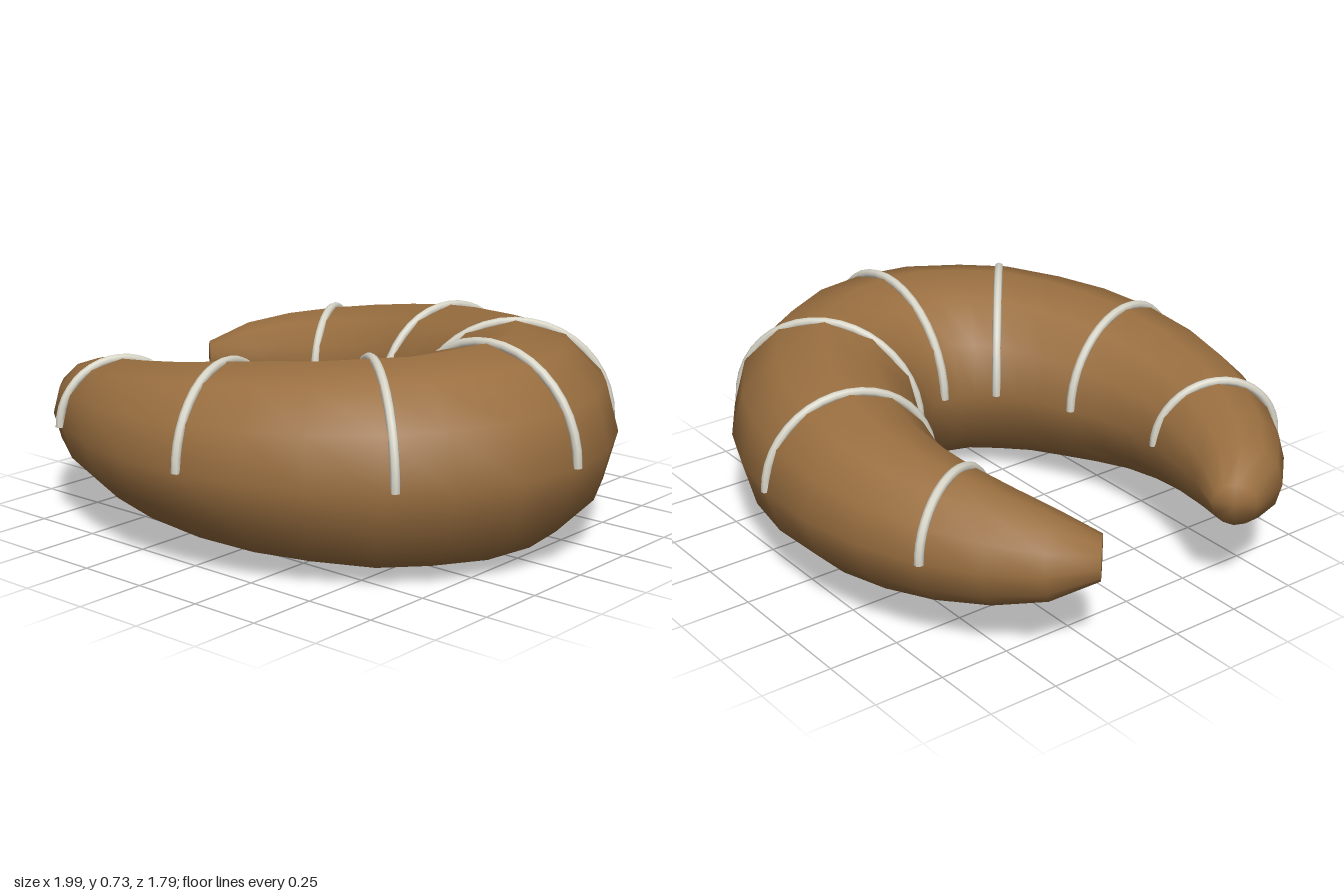
import * as THREE from 'three';

const MID_Y = 0.357;
const SIDES = 12;

// Cross-sections from tip to middle: inner x, z then outer x, z
const HALF = [
  [-0.89, 0.23, -1.0, 0.33], [-0.75, 0.285, -0.94, 0.5], [-0.62, 0.32, -0.8, 0.645],
  [-0.46, 0.35, -0.62, 0.76], [-0.33, 0.355, -0.42, 0.84], [-0.2, 0.34, -0.2, 0.885],
  [-0.08, 0.3, 0.04, 0.885], [0.03, 0.25, 0.27, 0.84], [0.11, 0.21, 0.48, 0.755],
  [0.18, 0.16, 0.69, 0.62], [0.23, 0.11, 0.83, 0.455], [0.255, 0.055, 0.94, 0.235],
  [0.265, 0, 0.975, 0],
];
// Bands over the top, given the same way
const BANDS = [
  [-0.464, 0.355, -0.64, 0.755], [-0.08, 0.3, 0.052, 0.88],
  [0.18, 0.168, 0.71, 0.588], [0.267, 0, 0.977, 0],
];

const mirror = ([ix, iz, ox, oz]) => [ix, -iz, ox, -oz];
const bothSides = (list) => [...list, ...list.slice(0, -1).reverse().map(mirror)];

// Curved, tapering body with closed tips
function bodyGeometry() {
  const rings = bothSides(HALF);
  const pos = [], index = [];
  for (const [ix, iz, ox, oz] of rings) {
    const cx = (ix + ox) / 2, cz = (iz + oz) / 2;
    const dx = (ox - ix) / 2, dz = (oz - iz) / 2;
    const r = Math.hypot(dx, dz);
    for (let j = 0; j < SIDES; j++) {
      const a = (j / SIDES) * Math.PI * 2;
      pos.push(cx + dx * Math.cos(a), MID_Y + r * Math.sin(a), cz + dz * Math.cos(a));
    }
  }
  const last = rings.length - 1;
  for (let i = 0; i < last; i++) {
    for (let j = 0; j < SIDES; j++) {
      const a = i * SIDES + j, b = i * SIDES + (j + 1) % SIDES;
      index.push(a, a + SIDES, b, b, a + SIDES, b + SIDES);
    }
  }
  // Tip caps
  for (const i of [0, last]) {
    const [ix, iz, ox, oz] = rings[i];
    const c = pos.length / 3;
    pos.push((ix + ox) / 2, MID_Y, (iz + oz) / 2);
    for (let j = 0; j < SIDES; j++) {
      const a = i * SIDES + j, b = i * SIDES + (j + 1) % SIDES;
      if (i === 0) index.push(c, a, b);
      else index.push(c, b, a);
    }
  }
  const geo = new THREE.BufferGeometry();
  geo.setAttribute('position', new THREE.Float32BufferAttribute(pos, 3));
  geo.setIndex(index);
  geo.computeVertexNormals();
  return geo;
}

export function createModel() {
  const group = new THREE.Group();
  group.name = 'croissant';
  const crust = new THREE.MeshStandardMaterial({ name: 'brown crust', color: 0x9a6f40 });
  const icing = new THREE.MeshStandardMaterial({ name: 'pale icing', color: 0xd8d5c8 });

  const body = new THREE.Mesh(bodyGeometry(), crust);
  body.name = 'body';
  group.add(body);

  // Half-ring bands over the upper side
  bothSides(BANDS).forEach(([ix, iz, ox, oz], i) => {
    const dx = ox - ix, dz = oz - iz;
    const band = new THREE.Mesh(
      new THREE.TorusGeometry(Math.hypot(dx, dz) / 2, 0.016, 8, 20, Math.PI), icing);
    band.name = `icingBand${i + 1}`;
    band.position.set((ix + ox) / 2, MID_Y, (iz + oz) / 2);
    band.rotation.y = -Math.atan2(dz, dx);
    group.add(band);
  });
  return group;
}
